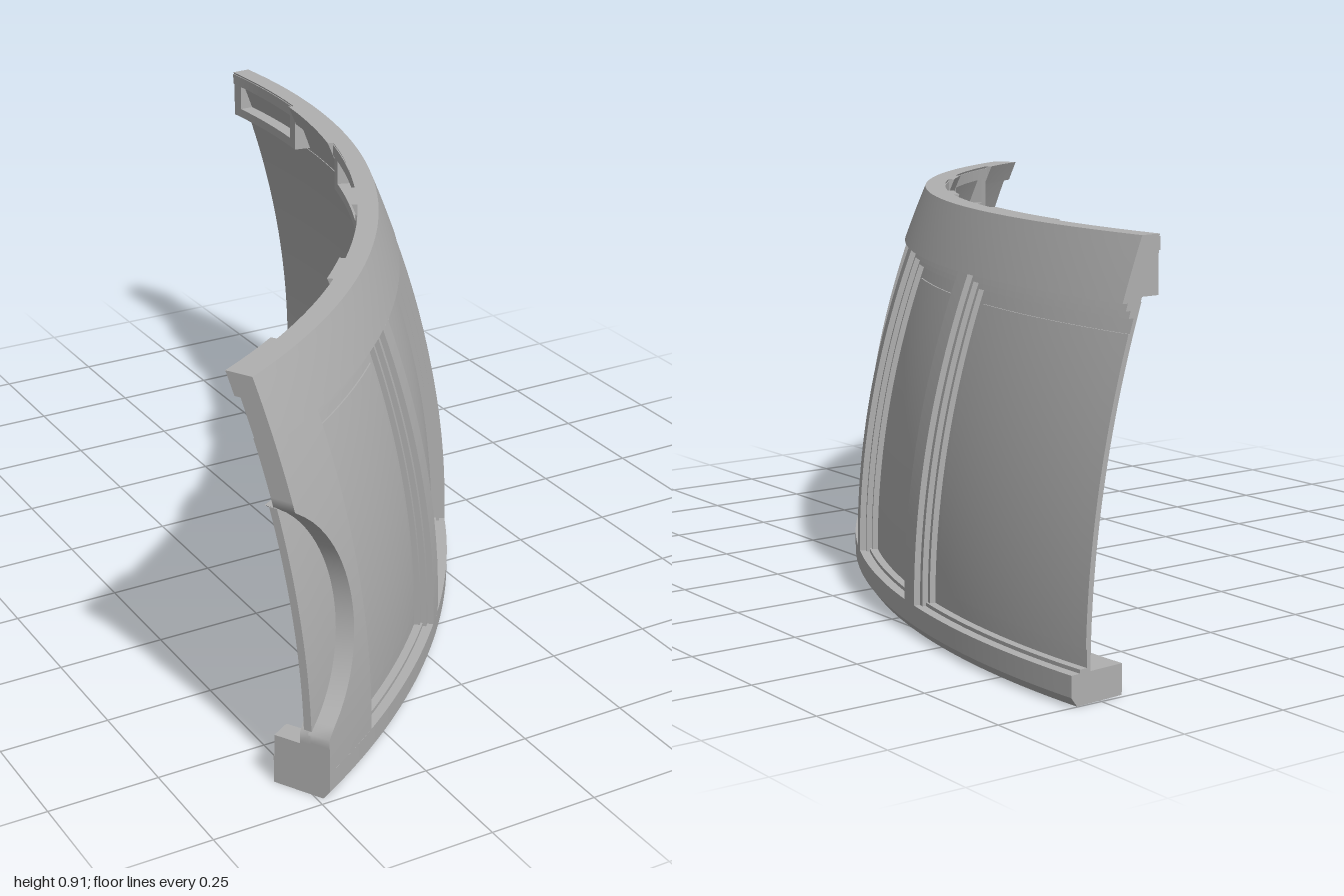
import * as THREE from 'three';
import { mergeGeometries } from 'three/addons/utils/BufferGeometryUtils.js';

// The wall is a ring segment around a vertical axis at (CX, CZ); angles in degrees
const CX = -1.54, CZ = -0.84, START = -4.3, END = 60, RAD = Math.PI / 180;
const TOP = 0.91, BASE = 0.065, HEAD = 0.78;
const RIBS = [[12.4, 14], [26.6, 28.2], [40.7, 42.4]];
const PANELS = [[START, 12.4], [14, 26.6], [28.2, 40.7], [42.4, 54.9]];

// Domed outer radius at height y
const shell = (y) => 2.12 - 0.25 * Math.max(0, y - BASE) ** 2;
const inset = (d) => (y) => shell(y) - d;
// Round bite taken out of the end edge
const notchEdge = (y) => {
  const q = 0.284 ** 2 - (y - 0.395) ** 2;
  const bite = q > 0 ? Math.max(0, Math.sqrt(q) - 0.144) : 0;
  return END - bite / 2.09 / RAD;
};
const fn = (v) => (typeof v === 'function' ? v : () => v);

// Closed curved block between two angles, two heights and two radii
function slab(a0, a1, y0, y1, r0, r1) {
  const [A0, A1, R0, R1] = [a0, a1, r0, r1].map(fn);
  const width = Math.abs(A1((y0 + y1) / 2) - A0((y0 + y1) / 2));
  const seg = [Math.max(1, Math.ceil((y1 - y0) / 0.02)), Math.max(1, Math.ceil(width)), 1];
  const place = ([v, u, w]) => {
    const y = y0 + (y1 - y0) * v;
    const a = (A0(y) + (A1(y) - A0(y)) * u) * RAD;
    const r = R0(y) + (R1(y) - R0(y)) * w;
    return [CX + r * Math.cos(a), y, CZ + r * Math.sin(a)];
  };
  const faces = [];
  for (let d = 0; d < 3; d++) {
    const p = (d + 1) % 3, q = (d + 2) % 3;
    for (const side of [0, 1]) {
      const pos = [], idx = [], n = seg[q] + 1;
      for (let i = 0; i <= seg[p]; i++) {
        for (let j = 0; j <= seg[q]; j++) {
          const t = [0, 0, 0];
          t[d] = side; t[p] = i / seg[p]; t[q] = j / seg[q];
          pos.push(...place(t));
          if (i < seg[p] && j < seg[q]) {
            const k = i * n + j;
            if (side) idx.push(k, k + n, k + n + 1, k, k + n + 1, k + 1);
            else idx.push(k, k + n + 1, k + n, k, k + 1, k + n + 1);
          }
        }
      }
      const g = new THREE.BufferGeometry();
      g.setAttribute('position', new THREE.Float32BufferAttribute(pos, 3));
      g.setIndex(idx);
      g.computeVertexNormals();
      faces.push(g);
    }
  }
  return mergeGeometries(faces);
}

export function createModel() {
  const model = new THREE.Group();
  model.name = 'curvedWallSegment';
  const stone = new THREE.MeshStandardMaterial({ color: 0xb0b0b0 });
  stone.name = 'grey';
  const add = (name, ...blocks) => {
    const mesh = new THREE.Mesh(mergeGeometries(blocks.map((b) => slab(...b))), stone);
    mesh.name = name;
    model.add(mesh);
  };

  // Thin skin behind the panels, top band, and full-depth ribs
  add('backing', [START, 54.9, BASE, HEAD, inset(0.05), inset(0.04)]);
  add('topBand', [START, END, HEAD, TOP, inset(0.048), shell]);
  RIBS.forEach(([a, b]) => add('rib', [a, b, BASE, HEAD, inset(0.05), shell]));
  add('endPier', [54.9, notchEdge, BASE, HEAD, inset(0.05), shell]);

  // Recessed face inside the round notch and the thick surround behind it
  add('notchFace', [notchEdge, END, 0.151, 0.639, inset(0.06), inset(0.042)]);
  add('notchSurround', [54.6, notchEdge, 0.1, 0.64, inset(0.07), inset(0.045)]);
  add('endFoot', [58.6, END, 0.06, 0.115, 1.988, inset(0.04)]);

  // Stepped mouldings and a slightly raised field in each panel
  PANELS.forEach(([a, b], i) => {
    const open = i === 0;
    const blocks = [
      [a, b, 0.765, HEAD, inset(0.045), inset(0.014)],
      [a, b, 0.75, 0.765, inset(0.045), inset(0.027)],
      [a, b, BASE, 0.073, inset(0.045), inset(0.022)],
      [b - 0.35, b, BASE, HEAD, inset(0.045), inset(0.014)],
      [b - 0.65, b - 0.35, BASE, 0.765, inset(0.045), inset(0.027)],
    ];
    if (!open) {
      blocks.push([a, a + 0.35, BASE, HEAD, inset(0.045), inset(0.014)]);
      blocks.push([a + 0.35, a + 0.65, BASE, 0.765, inset(0.045), inset(0.027)]);
    }
    add('panelMoulding', ...blocks);
    add('panelField', [open ? a : a + 1.3, b - 1.3, 0.11, 0.72, inset(0.042), inset(0.037)]);
  });

  // Base ring with a chamfered foot and slots through its inner ledge
  const slots = [[1.8, 5.2], [15.3, 18.7], [30, 33.4], [39.2, 40.6], [41.4, 42.6], [45, 48.4], [50, 50.8]];
  add('baseRing',
    [START, END, 0, 0.02, 2.045, (y) => 2.105 + 0.75 * y],
    [START, END, 0.02, BASE, 2.045, shell]);
  add('baseLedgeRim', [START, END, 0, BASE, 1.986, 2.008]);
  const stops = [START, ...slots.flat(), END];
  const webs = [];
  for (let i = 0; i < stops.length; i += 2) {
    webs.push([stops[i], stops[i + 1], 0, BASE, 2.008, 2.045]);
  }
  add('baseLedge', ...webs);

  // Framed sockets high on the inner face
  [[START, 6.3], [16, 26.2], [29.8, 40.2], [44, 54.4]].forEach(([a, b]) => {
    const back = inset(0.045), front = 1.897;
    add('socketFrame',
      [a, b, 0.79, 0.813, front, back],
      [a, b, 0.878, 0.905, front - 0.004, back],
      [a, a + 1, 0.813, 0.878, front, back],
      [b - 1, b, 0.813, 0.878, front, back]);
  });
  // Thicker rim between the sockets
  [[6.3, 16], [26.2, 29.8], [40.2, 44], [54.4, END]].forEach(([a, b]) =>
    add('rimPad', [a, b, 0.86, TOP, inset(0.062), inset(0.045)]));

  return model;
}
